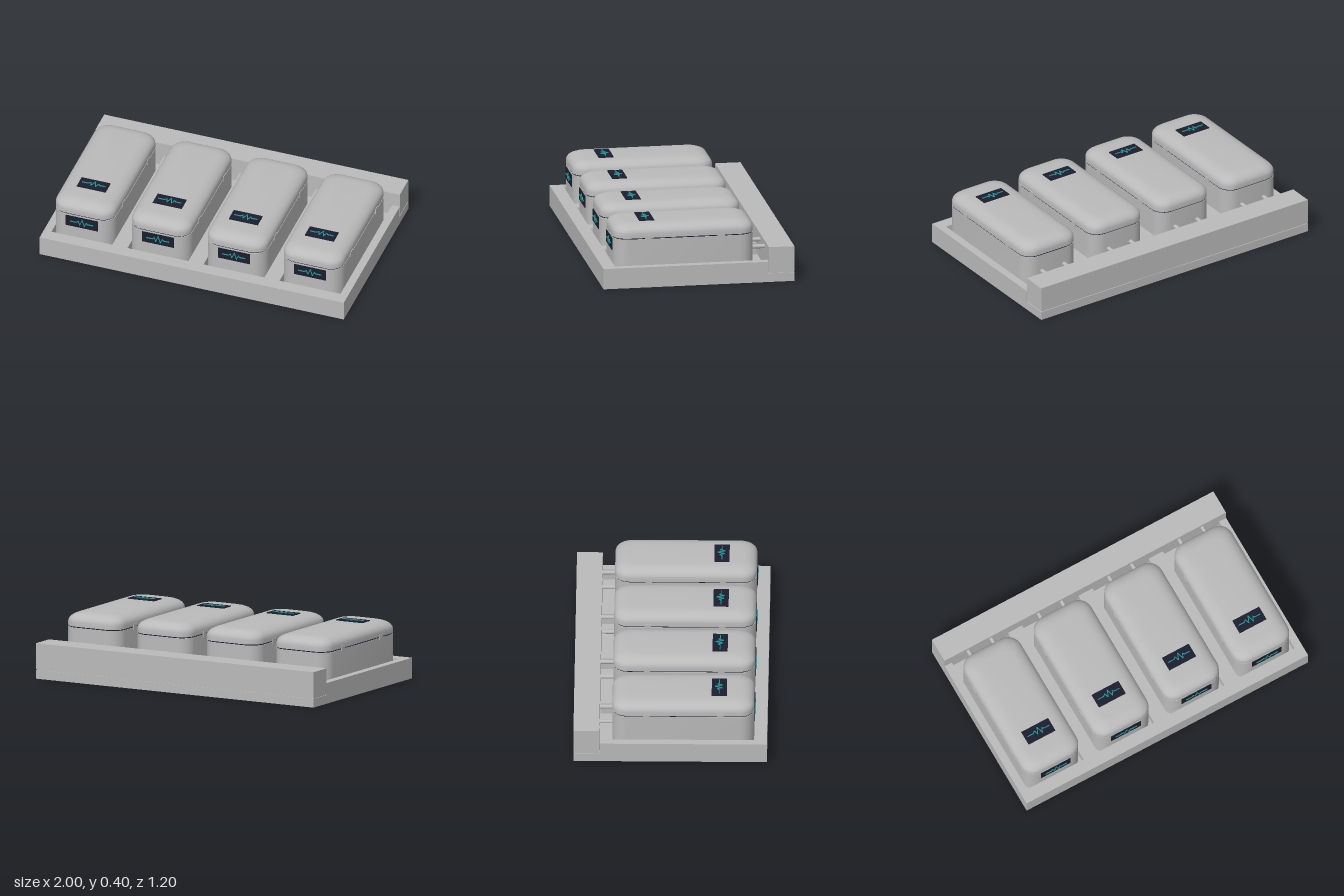
import * as THREE from 'three';
import { toCreasedNormals } from 'three/addons/utils/BufferGeometryUtils.js';

const mat = (name, color) => {
  const m = new THREE.MeshStandardMaterial({ color });
  m.name = name;
  return m;
};

// Closed solid through rounded rectangles; levels are [y, inset, cornerRadius]
function roundedLoft(halfW, halfD, levels, seg = 6) {
  const pos = [], index = [];
  const n = 4 * (seg + 1);
  for (const [y, inset, r] of levels) {
    const cx = halfW - inset - r, cz = halfD - inset - r;
    for (let q = 0; q < 4; q++) {
      const sx = q === 0 || q === 3 ? 1 : -1, sz = q < 2 ? 1 : -1;
      for (let s = 0; s <= seg; s++) {
        const a = (q + s / seg) * Math.PI / 2;
        pos.push(sx * cx + r * Math.cos(a), y, sz * cz + r * Math.sin(a));
      }
    }
  }
  const last = (levels.length - 1) * n;
  const bottom = levels.length * n, top = bottom + 1;
  pos.push(0, levels[0][0], 0, 0, levels[levels.length - 1][0], 0);
  for (let i = 0; i < n; i++) {
    const j = (i + 1) % n;
    for (let k = 0; k < last; k += n) {
      index.push(k + i, k + i + n, k + j, k + j, k + i + n, k + j + n);
    }
    index.push(bottom, i, j, top, last + j, last + i);
  }
  const g = new THREE.BufferGeometry();
  g.setAttribute('position', new THREE.Float32BufferAttribute(pos, 3));
  g.setIndex(index);
  return toCreasedNormals(g, 0.6);
}

export function createModel() {
  const metal = mat('greyMetal', 0xbababa);
  const dark = mat('darkScreen', 0x1c1e2e);
  const teal = mat('tealTrace', 0x1f9a9a);
  const model = new THREE.Group();
  model.name = 'podTray';

  const add = (parent, name, geo, material, x = 0, y = 0, z = 0) => {
    const m = new THREE.Mesh(geo, material);
    m.name = name;
    m.position.set(x, y, z);
    parent.add(m);
    return m;
  };
  const box = (w, h, d) => new THREE.BoxGeometry(w, h, d);
  const podX = [-0.75, -0.25, 0.25, 0.75];

  // Tray: floor plate, and comb-shaped walls leaving a bay for each pod
  add(model, 'trayFloor', box(2, 0.055, 1.2), metal, 0, 0.0275, 0);
  const comb = new THREE.Shape();
  comb.moveTo(-1, -0.6);
  comb.lineTo(1, -0.6);
  comb.lineTo(1, 0.438);
  for (const x of [...podX].reverse()) {
    comb.lineTo(x + 0.2, 0.438);
    comb.lineTo(x + 0.2, -0.52);
    comb.lineTo(x - 0.2, -0.52);
    comb.lineTo(x - 0.2, 0.438);
  }
  comb.lineTo(-1, 0.438);
  const combGeo = new THREE.ExtrudeGeometry(comb, { depth: 0.075, bevelEnabled: false });
  combGeo.rotateX(-Math.PI / 2);
  add(model, 'trayWalls', combGeo, metal, 0, 0.055, 0);

  // Rear manifold, with a narrow joint under it
  add(model, 'rearManifold', box(2, 0.162, 0.16), metal, 0, 0.142, -0.52);
  add(model, 'manifoldJoint', box(1.99, 0.008, 0.15), metal, 0, 0.058, -0.52);

  // Shared pod geometry
  const bodyGeo = roundedLoft(0.198, 0.44, [[0.056, 0, 0.09], [0.297, 0, 0.09]]);
  const seamGeo = roundedLoft(0.198, 0.44, [[0.295, 0.003, 0.088], [0.305, 0.003, 0.088]]);
  const lidLevels = [[0.303, 0, 0.09]];
  for (let i = 0; i <= 6; i++) {
    const a = i / 6 * Math.PI / 2;
    lidLevels.push([0.33 + 0.056 * Math.sin(a), 0.092 * (1 - Math.cos(a)), 0.09 - 0.035 * (1 - Math.cos(a))]);
  }
  const lidGeo = roundedLoft(0.198, 0.44, lidLevels);
  const latchGeo = box(0.01, 0.036, 0.04);
  const pipeGeo = new THREE.CylinderGeometry(0.013, 0.013, 0.1, 16).rotateX(Math.PI / 2);

  // Pulse line on a screen facing +z
  const pulse = [[-0.075, 0], [-0.035, 0], [-0.022, 0.012], [-0.012, -0.016], [0.004, 0.026],
    [0.018, -0.02], [0.03, 0.01], [0.038, 0], [0.075, 0]];
  const makeScreen = (name, w, h) => {
    const g = new THREE.Group();
    g.name = name;
    add(g, 'screenPanel', box(w, h, 0.006), dark);
    for (let i = 1; i < pulse.length; i++) {
      const [x0, y0] = pulse[i - 1], [x1, y1] = pulse[i];
      const len = Math.hypot(x1 - x0, y1 - y0);
      const line = add(g, 'pulseLine', box(len + 0.003, 0.005, 0.006), teal, (x0 + x1) / 2, (y0 + y1) / 2, 0.005);
      line.rotation.z = Math.atan2(y1 - y0, x1 - x0);
    }
    return g;
  };

  for (const x of podX) {
    const pod = new THREE.Group();
    pod.name = 'pod';
    pod.position.set(x, 0, 0.08);
    add(pod, 'podBody', bodyGeo, metal);
    add(pod, 'lidSeam', seamGeo, dark);
    add(pod, 'podLid', lidGeo, metal);

    for (const s of [-1, 1]) {
      for (const z of [0.23, -0.23]) add(pod, 'latch', latchGeo, metal, s * 0.197, 0.3, z);
      add(pod, 'coolantPipe', pipeGeo, metal, s * 0.082, 0.186, -0.48);
    }

    // Front and top displays
    const front = makeScreen('frontScreen', 0.21, 0.076);
    front.position.set(0, 0.249, 0.441);
    pod.add(front);
    const top = makeScreen('topScreen', 0.19, 0.094);
    top.rotation.x = -Math.PI / 2;
    top.position.set(0, 0.388, 0.222);
    pod.add(top);
    model.add(pod);
  }
  return model;
}
